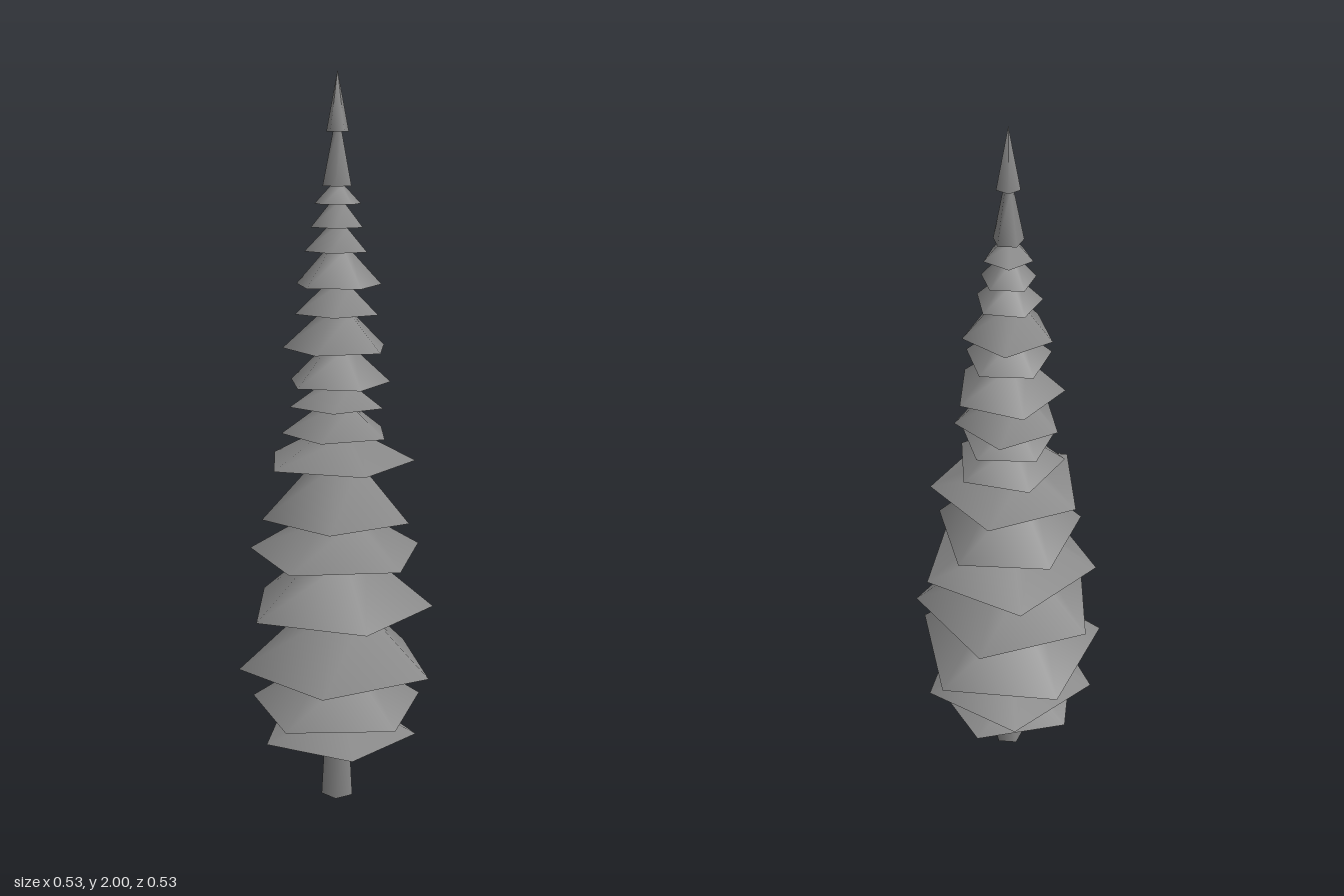
import * as THREE from 'three';

const SIDES = 5;

// Five-sided smooth frustum from y0 to y1; phase is the angle of one corner from +x towards +z.
function frustum(name, material, y0, y1, bottom, top, phase) {
  const start = THREE.MathUtils.degToRad(90 - phase);
  const geometry = new THREE.CylinderGeometry(top, bottom, y1 - y0, SIDES, 1, false, start);
  const mesh = new THREE.Mesh(geometry, material);
  mesh.name = name;
  mesh.position.y = (y0 + y1) / 2;
  return mesh;
}

export function createModel() {
  const grey = new THREE.MeshStandardMaterial({ color: 0x888888 });
  grey.name = 'grey';

  const tree = new THREE.Group();
  tree.name = 'coniferTree';
  const body = new THREE.Group();
  body.name = 'treeBody';
  body.position.z = -0.012;
  tree.add(body);

  // Trunk
  body.add(frustum('trunk', grey, 0, 0.2, 0.046, 0.035, 20));

  // Branch tiers: base height, base radius, corner angle in degrees
  const tiers = [
    [0.19, 0.222, 3], [0.267, 0.25, 47], [0.388, 0.277, 21.5],
    [0.558, 0.265, 68.5], [0.71, 0.249, 43.5], [0.816, 0.21, 19],
    [0.97, 0.212, 65.5], [1.047, 0.152, 30], [1.124, 0.132, 18],
    [1.185, 0.144, 60], [1.278, 0.148, 36], [1.373, 0.116, 18],
    [1.447, 0.12, 55], [1.537, 0.088, 24], [1.6, 0.072, 18],
    [1.66, 0.064, 50], [1.706, 0.04, 20], [1.844, 0.031, 50],
  ];
  tiers.forEach(([y, radius, phase], i) => {
    // Each tier narrows up to the base of the next; the last one ends in a point.
    const last = i === tiers.length - 1;
    const yTop = last ? 2 : tiers[i + 1][0];
    const top = last ? 0 : radius * 0.31;
    body.add(frustum(last ? 'tip' : `branchTier${i + 1}`, grey, y, yTop, radius, top, phase));
  });

  return tree;
}
